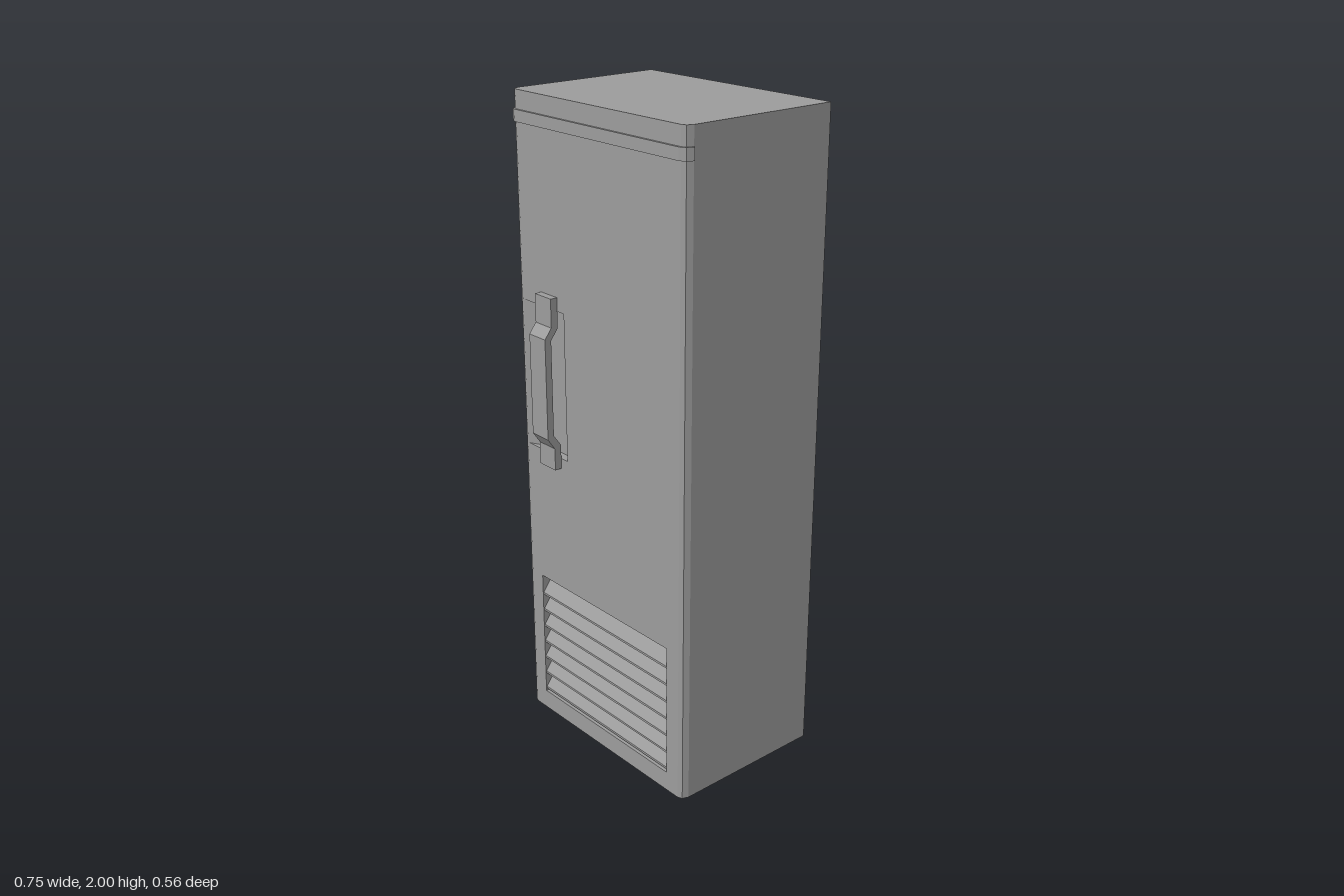
import * as THREE from 'three';

const SEAM = 0.55, TOP = 2, FRONT = 0.235, BACK = -0.282;
const mat = new THREE.MeshStandardMaterial({ color: 0x9c9c9c, flatShading: true, side: THREE.DoubleSide });

function add(parent, name, geometry) {
  const mesh = new THREE.Mesh(geometry, mat);
  mesh.name = name;
  parent.add(mesh);
  return mesh;
}

// Sweeps a line of [x, y, z] points along an offset into a strip of quads
function strip(points, [ox, oy, oz]) {
  const pos = [];
  for (let i = 0; i < points.length - 1; i++) {
    const a = points[i], b = points[i + 1];
    const c = [b[0] + ox, b[1] + oy, b[2] + oz], d = [a[0] + ox, a[1] + oy, a[2] + oz];
    pos.push(...a, ...b, ...c, ...a, ...c, ...d);
  }
  const g = new THREE.BufferGeometry();
  g.setAttribute('position', new THREE.Float32BufferAttribute(pos, 3));
  g.computeVertexNormals();
  return g;
}

const shapeOf = (pts) => new THREE.Shape(pts.map(([x, y]) => new THREE.Vector2(x, y)));
const rect = (x0, x1, y0, y1) => [[x0, y0], [x1, y0], [x1, y1], [x0, y1]];

// Flat front sheet with one rectangular opening
function panel(outer, hole) {
  const s = shapeOf(outer);
  s.holes.push(shapeOf(hole));
  return new THREE.ShapeGeometry(s).translate(0, 0, FRONT);
}

export function createModel() {
  const model = new THREE.Group();
  model.name = 'refrigerator';

  // Cabinet outline in plan, from the front left edge round the back to the front right edge
  const half = [[0.349, FRONT], [0.363, 0.229], [0.37, 0.21], [0.37, BACK]];
  const plan = [...half, ...half.map(([x, z]) => [-x, z]).reverse()];
  const cabinet = new THREE.Group();
  cabinet.name = 'cabinet';
  model.add(cabinet);
  add(cabinet, 'cabinetWalls', strip(plan.map(([x, z]) => [x, 0, z]), [0, TOP, 0]));
  const cap = shapeOf(plan.map(([x, z]) => [x, -z]));
  add(cabinet, 'cabinetTop', new THREE.ShapeGeometry(cap).rotateX(-Math.PI / 2).translate(0, TOP, 0));
  const base = shapeOf(plan);
  add(cabinet, 'cabinetBase', new THREE.ShapeGeometry(base).rotateX(Math.PI / 2));

  // Door with a shallow hand recess: sloped on the outer side, square on the inner side
  const rx0 = -0.345, rx1 = -0.153, ry0 = 0.928, ry1 = 1.388, deep = FRONT - 0.027;
  add(model, 'door', panel(rect(-0.349, 0.349, SEAM, TOP), rect(rx0, rx1, ry0, ry1)));
  const dip = [[rx0, FRONT], [-0.29, deep], [rx1, deep], [rx1, FRONT]];
  const recess = new THREE.Group();
  recess.name = 'handRecess';
  model.add(recess);
  add(recess, 'recessFloor', strip(dip.map(([x, z]) => [x, ry0, z]), [0, ry1 - ry0, 0]));
  for (const y of [ry0, ry1]) {
    const end = shapeOf(dip);
    add(recess, 'recessEnd', new THREE.ShapeGeometry(end).rotateX(Math.PI / 2).translate(0, y, 0));
  }

  // Bent strap handle
  const side = [
    [0.235, 0.895], [0.258, 0.895], [0.258, 0.965], [0.282, 1.0], [0.282, 1.312], [0.258, 1.343],
    [0.258, 1.43], [0.235, 1.43], [0.235, 1.338], [0.26, 1.305], [0.26, 1.007], [0.235, 0.972],
  ];
  const handle = new THREE.ExtrudeGeometry(shapeOf(side), { depth: 0.075, bevelEnabled: false });
  handle.rotateY(-Math.PI / 2).translate(-0.183, 0, 0);
  add(model, 'handle', handle);

  // Trim band wrapping round the front near the top
  const outer = [[0.376, 0.212], [0.368, 0.233], [0.348, 0.242]];
  const inner = [[0.345, 0.234], [0.362, 0.228], [0.369, 0.209]];
  const mirror = (pts) => pts.map(([x, z]) => [-x, z]).reverse();
  const loop = [...outer, ...mirror(outer), ...mirror(inner), ...inner];
  const band = new THREE.ExtrudeGeometry(shapeOf(loop), { depth: 0.035, bevelEnabled: false });
  add(model, 'trimBand', band.rotateX(Math.PI / 2).translate(0, 1.945, 0));

  // Lower panel with the vent pocket
  const gx0 = -0.299, gx1 = 0.298, gy0 = 0.062, gy1 = 0.487, depth = 0.05;
  const opening = rect(gx0, gx1, gy0, gy1);
  const vent = new THREE.Group();
  vent.name = 'vent';
  model.add(vent);
  add(vent, 'lowerPanel', panel(rect(-0.349, 0.349, 0, SEAM), opening));
  add(vent, 'ventWalls', strip([...opening, opening[0]].map(([x, y]) => [x, y, FRONT]), [0, 0, -depth]));
  add(vent, 'ventBack', new THREE.ShapeGeometry(shapeOf(opening)).translate(0, 0, FRONT - depth));

  // Slats slope down from the back of the pocket to the front
  const count = 7, pitch = 0.058, t = 0.007;
  for (let i = 0; i < count; i++) {
    const y = 0.07 + i * pitch;
    const z0 = FRONT - 0.04, z1 = FRONT - 0.003, top = y + pitch;
    const section = [[z1, y], [z1, y + t], [z0, top], [z0, top - t]];
    const slat = new THREE.ExtrudeGeometry(shapeOf(section), { depth: gx1 - gx0, bevelEnabled: false });
    add(vent, 'slat', slat.rotateY(-Math.PI / 2).translate(gx1, 0, 0));
  }
  return model;
}
